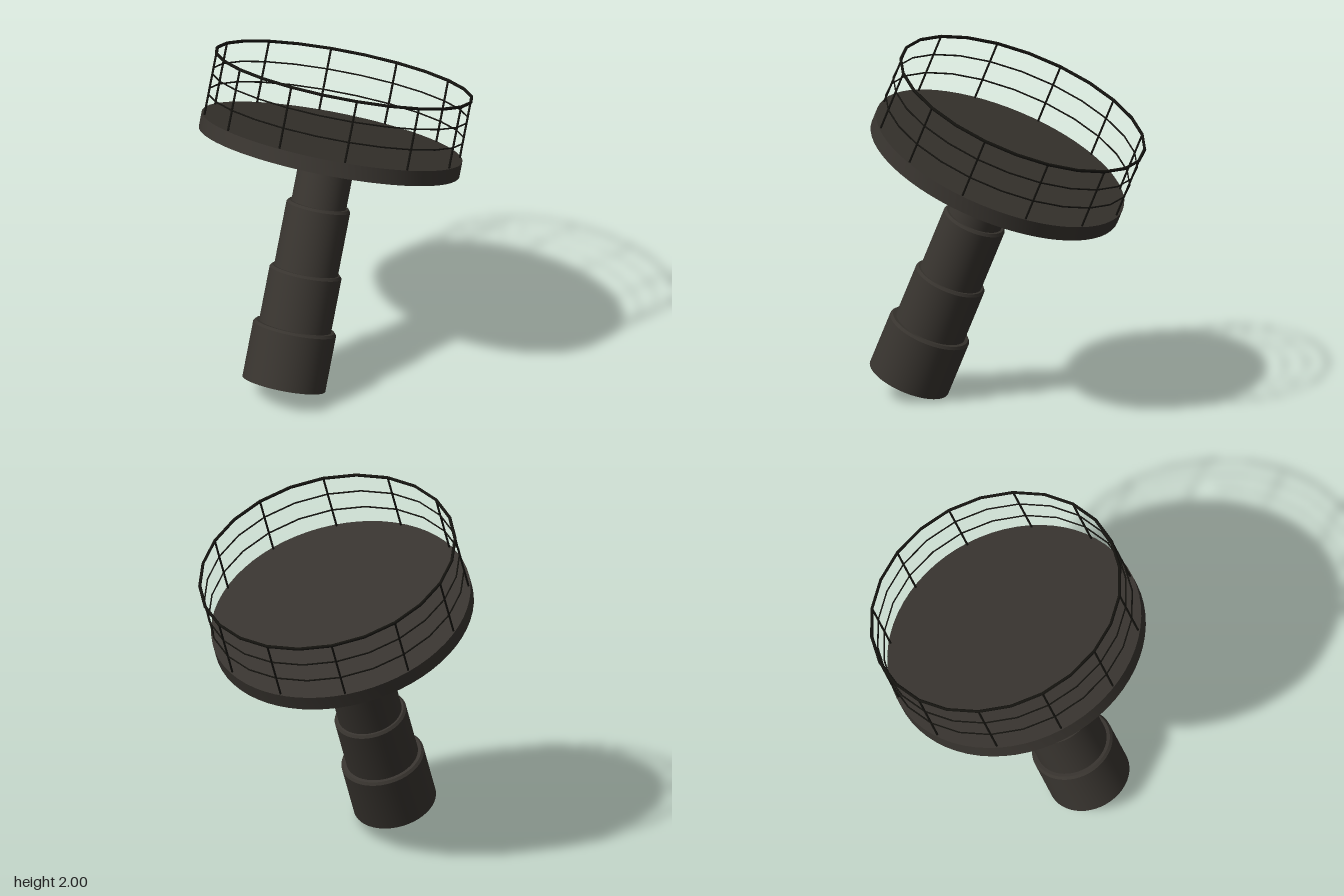
import * as THREE from 'three';
import { toCreasedNormals } from 'three/addons/utils/BufferGeometryUtils.js';

const bodyMat = new THREE.MeshStandardMaterial({ color: 0x38342f });
const railMat = new THREE.MeshStandardMaterial({ color: 0x14130f });

const DECK_R = 0.732, DECK_TOP = 1.412, DECK_BOTTOM = 1.326, PLATE = 1.372;
const RAIL_R = 0.72, RAIL_H = 0.35, POSTS = 12;
const PHASE = THREE.MathUtils.degToRad(-101.7); // direction of the first post

function add(parent, name, geometry, material) {
  const mesh = new THREE.Mesh(geometry, material);
  mesh.name = name;
  parent.add(mesh);
  return mesh;
}

// Turned part from [radius, height] pairs, with crisp steps
function lathe(points, segments = 48) {
  const g = new THREE.LatheGeometry(points.map(([r, y]) => new THREE.Vector2(r, y)), segments);
  return toCreasedNormals(g, 0.6);
}

// Horizontal hoop whose corners meet the posts
function hoop(radius, tube, y) {
  return new THREE.TorusGeometry(radius, tube, 6, POSTS * 2)
    .rotateZ(PHASE).rotateX(Math.PI / 2).translate(0, y, 0);
}

export function createModel() {
  const model = new THREE.Group();
  model.name = 'leaningPlatform';

  // Everything is built upright, then leaned over
  const tower = new THREE.Group();
  tower.name = 'tower';
  tower.position.set(-0.4625, 0.09, 0.357);
  tower.quaternion.setFromUnitVectors(
    new THREE.Vector3(0, 1, 0), new THREE.Vector3(0.298, 0.9256, -0.233).normalize());
  model.add(tower);

  // Telescopic column: four sleeves, each with a small chamfer on top
  const sleeves = [[0.233, 0, 0.33], [0.202, 0.32, 0.65], [0.179, 0.64, 1.025], [0.154, 1.015, 1.32]];
  const column = new THREE.Group();
  column.name = 'column';
  tower.add(column);
  sleeves.forEach(([r, y0, y1], i) => {
    add(column, `columnSleeve${i + 1}`,
      lathe([[0, y0], [r, y0], [r, y1 - 0.014], [r - 0.012, y1], [0, y1]]), bodyMat);
  });

  // Stepped hub joining the column to the deck
  add(tower, 'hub', lathe([[0, 1.292], [0.245, 1.292], [0.26, 1.305], [0.26, 1.33],
    [0.345, 1.33], [0.36, 1.342], [0.36, PLATE + 0.01]]), bodyMat);

  // Round deck with a lip around a hollow underside
  add(tower, 'deck', lathe([[0, PLATE], [0.69, PLATE], [0.7, DECK_BOTTOM], [DECK_R, DECK_BOTTOM],
    [DECK_R, DECK_TOP], [0, DECK_TOP]], 64), bodyMat);

  // Ribs and stiffening ring under the deck
  const ribs = new THREE.Group();
  ribs.name = 'underRibs';
  tower.add(ribs);
  for (let i = 0; i < POSTS; i++) {
    const a = PHASE + (i * Math.PI * 2) / POSTS;
    const rib = add(ribs, 'rib', new THREE.BoxGeometry(0.36, 0.035, 0.018).translate(0.52, 1.357, 0), bodyMat);
    rib.rotation.y = -a;
  }
  add(ribs, 'ribRing', lathe([[0.53, PLATE], [0.53, 1.345], [0.55, 1.345], [0.55, PLATE]]), bodyMat);

  // Guard rail: posts, two thin hoops and a thicker handrail
  const railing = new THREE.Group();
  railing.name = 'railing';
  tower.add(railing);
  for (let i = 0; i < POSTS; i++) {
    const a = PHASE + (i * Math.PI * 2) / POSTS;
    const post = add(railing, 'post', new THREE.CylinderGeometry(0.006, 0.006, RAIL_H + 0.01, 6), railMat);
    post.position.set(RAIL_R * Math.cos(a), DECK_TOP + RAIL_H / 2 - 0.005, RAIL_R * Math.sin(a));
  }
  for (const k of [1, 2]) {
    add(railing, 'midRail', hoop(RAIL_R, 0.0045, DECK_TOP + (RAIL_H * k) / 3), railMat);
  }
  add(railing, 'handrail', hoop(RAIL_R, 0.009, DECK_TOP + RAIL_H), railMat);

  return model;
}
